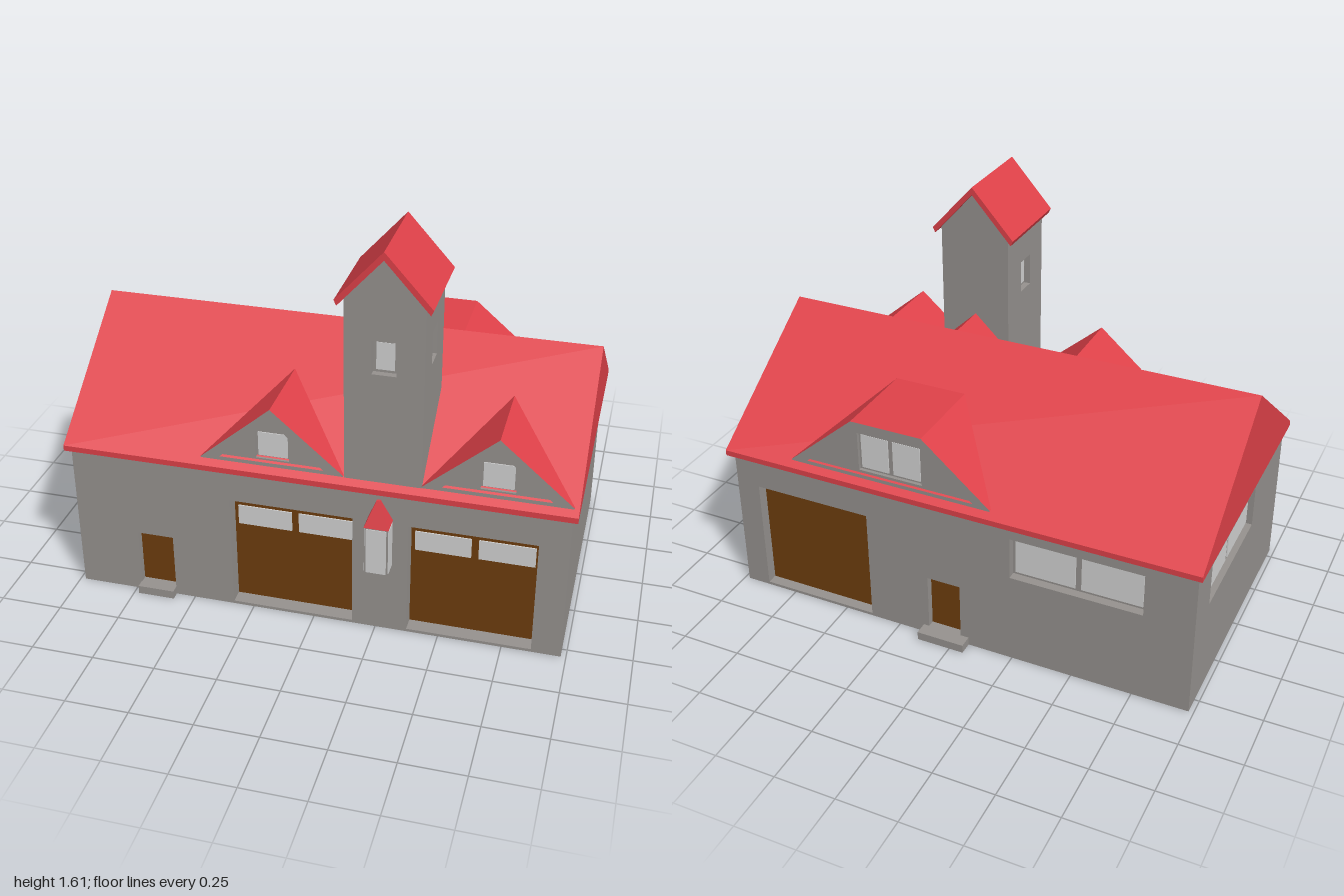
import * as THREE from 'three';

const mat = (name, color) => new THREE.MeshStandardMaterial({ name, color });

export function createModel() {
  const grey = mat('wall grey', 0x96928f);
  const red = mat('roof red', 0xdf4149);
  const brown = mat('door brown', 0x6d3d0e);
  const glass = mat('window glass', 0xd2d2d2);
  const model = new THREE.Group();
  model.name = 'fireStation';

  const group = (name, parent = model) => {
    const g = new THREE.Group();
    g.name = name;
    parent.add(g);
    return g;
  };
  const add = (parent, name, geometry, material) => {
    const m = new THREE.Mesh(geometry, material);
    m.name = name;
    parent.add(m);
    return m;
  };
  // Box given by its limits on each axis
  const box = (parent, name, x0, x1, y0, y1, z0, z1, material) => {
    const m = add(parent, name, new THREE.BoxGeometry(x1 - x0, y1 - y0, z1 - z0), material);
    m.position.set((x0 + x1) / 2, (y0 + y1) / 2, (z0 + z1) / 2);
    return m;
  };
  const rect = (x0, x1, y0, y1) => [[x0, y0], [x1, y0], [x1, y1], [x0, y1]];
  const toPoints = (pts) => pts.map((p) => new THREE.Vector2(p[0], p[1]));
  // Outline with holes, extruded from z0 to z1
  const extrude = (pts, holes, z0, z1) => {
    const shape = new THREE.Shape(toPoints(pts));
    holes.forEach((h) => shape.holes.push(new THREE.Path(toPoints(h))));
    return new THREE.ExtrudeGeometry(shape, { depth: z1 - z0, bevelEnabled: false }).translate(0, 0, z0);
  };

  // Wall panel with its outer face at local z = 0 and recessed, filled openings
  const wall = (parent, name, outline, thick, openings) => {
    const g = group(name, parent);
    add(g, name + 'Panel', extrude(outline, openings.map((o) => rect(...o.area)), -thick, 0), grey);
    openings.forEach((o) => {
      const [x0, x1, y0, y1] = o.area;
      box(g, o.name, x0, x1, y0, y1, -thick - 0.005, -o.depth, o.material);
      o.panes.forEach((p) => box(g, 'pane', ...p, -o.depth - 0.002, -o.depth + 0.005, glass));
    });
    return g;
  };
  // Framed window with n panes side by side
  const windowOpening = (x0, x1, y0, y1, n, depth, border = 0.012) => {
    const w = (x1 - x0) / n;
    const panes = [];
    for (let i = 0; i < n; i++) {
      panes.push([x0 + i * w + border, x0 + (i + 1) * w - border, y0 + border, y1 - border]);
    }
    return { name: 'windowFrame', area: [x0, x1, y0, y1], depth, material: grey, panes };
  };
  const door = (name, x0, x1, y0, y1, depth, panes = []) =>
    ({ name, area: [x0, x1, y0, y1], depth, material: brown, panes });
  const garage = (x0) => door('garageDoor', x0, x0 + 0.49, 0.012, 0.495, 0.06, [
    [x0 + 0.015, x0 + 0.233, 0.355, 0.44],
    [x0 + 0.261, x0 + 0.478, 0.355, 0.44],
  ]);

  // Main building: solid core plus panels with openings
  const W = 0.98, H = 0.632, F = 0.545, B = -0.57;
  box(model, 'buildingCore', -W + 0.03, W, 0, H, B + 0.05, F - 0.07, grey);
  wall(model, 'frontWall', rect(-W, W, 0, H), 0.07, [
    door('frontDoor', -0.727, -0.58, 0.035, 0.275, 0.03), garage(-0.333), garage(0.375),
  ]).position.z = F;
  const back = wall(model, 'backWall', rect(-W, W, 0, H), 0.05, [
    door('backGarageDoor', -0.88, -0.38, 0.012, 0.495, 0.045),
    door('backDoor', -0.116, 0.025, 0.035, 0.275, 0.03),
    windowOpening(0.24, 0.78, 0.39, 0.57, 2, 0.035),
  ]);
  back.position.z = B;
  back.rotation.y = Math.PI;
  const side = wall(model, 'sideWall', rect(B + 0.05, F - 0.07, 0, H), 0.03, [
    windowOpening(-0.405, 0.155, 0.39, 0.57, 2, 0.027),
  ]);
  side.position.x = -W;
  side.rotation.y = -Math.PI / 2;

  // Door steps
  box(model, 'frontStep', -0.73, -0.58, 0, 0.035, F - 0.01, 0.58, grey);
  box(model, 'backStep', -0.06, 0.14, 0, 0.035, -0.625, B + 0.01, grey);

  // Main roof: solid gable, profile drawn in (-z, y)
  const roof = add(model, 'mainRoof', extrude(
    [[-0.57, 0.632], [0.6, 0.632], [0.6, 0.655], [-0.01, 1.07], [-0.57, 0.655]], [], -1, 1), red);
  roof.rotation.y = Math.PI / 2;

  // Dormers: recessed gable face under a thin red skin
  const dormer = (name, cx, z, turn, outer, inner, opening) => {
    const g = group(name);
    g.position.set(cx, 0, z);
    g.rotation.y = turn;
    add(g, 'dormerFrame', extrude(outer, [inner], -0.02, 0), grey);
    wall(g, 'dormerFace', outer, 0.02, [opening]).position.z = -0.02;
    add(g, 'dormerBody', extrude(outer, [], -0.36, -0.04), grey);
    const top = outer.slice(1);
    const skin = [outer[0], ...top, ...top.map(([x, y]) => [x * 1.006, y + 0.004]).reverse(),
      [outer[0][0] * 1.006, outer[0][1] + 0.004]];
    // The skin follows the outline from one eave over the top to the other
    add(g, 'dormerRoof', extrude(skin, [], -0.45, 0), [grey, red]);
  };
  [-0.16, 0.7].forEach((x) => dormer('frontDormer', x, F, 0,
    [[-0.28, 0.675], [0, 0.918], [0.28, 0.675]],
    [[-0.205, 0.69], [0, 0.873], [0.205, 0.69]],
    windowOpening(-0.066, 0.066, 0.695, 0.812, 1, 0.014, 0.008)));
  dormer('backDormer', 0.27, -0.575, Math.PI,
    [[-0.43, 0.675], [-0.15, 0.918], [0.15, 0.918], [0.43, 0.675]],
    [[-0.36, 0.69], [-0.145, 0.877], [0.145, 0.877], [0.36, 0.69]],
    windowOpening(-0.137, 0.137, 0.697, 0.865, 2, 0.014, 0.01));

  // Tower
  const tower = group('tower');
  tower.position.x = 0.2725;
  const hw = 0.148, z0 = 0.21, eave = 1.418;
  const gable = [[-hw, 0.6], [hw, 0.6], [hw, eave], [0, 1.581], [-hw, eave]];
  const zc = 0.38;
  wall(tower, 'towerFront', gable, 0.03, [windowOpening(-0.046, 0.046, 1.125, 1.258, 1, 0.026)]).position.z = F;
  add(tower, 'towerBack', extrude(gable, [], z0, z0 + 0.03), grey);
  box(tower, 'towerCore', -hw + 0.03, hw - 0.03, 0.6, eave, z0 + 0.03, F - 0.03, grey);
  for (const s of [-1, 1]) {
    const p = wall(tower, 'towerSide', rect(z0 + 0.03 - zc, F - 0.03 - zc, 0.6, eave), 0.03,
      [windowOpening(-0.046, 0.046, 1.125, 1.258, 1, 0.026)]);
    p.position.set(s * hw, 0, zc - (s > 0 ? 0.005 : 0));
    p.rotation.y = s * Math.PI / 2;
  }
  add(tower, 'towerRoof', extrude([[-0.178, 1.413], [-0.168, 1.392], [0, 1.58], [0.168, 1.392],
    [0.178, 1.413], [0, 1.612]], [], 0.19, 0.57), red);
  // Small ridge that joins the tower to the main roof
  add(tower, 'saddleRoof', extrude([[-hw, 0.91], [hw, 0.91], [0, 1.052]], [], 0.012, z0 + 0.005), red);

  // Wall lantern with glazed sides and pyramid cap
  const lantern = group('lantern');
  box(lantern, 'lanternBody', 0.222, 0.312, 0.305, 0.515, F - 0.005, 0.617, grey);
  box(lantern, 'lanternGlass', 0.228, 0.306, 0.312, 0.508, 0.615, 0.62, glass);
  box(lantern, 'lanternGlass', 0.219, 0.223, 0.312, 0.508, 0.552, 0.611, glass);
  box(lantern, 'lanternGlass', 0.311, 0.315, 0.312, 0.508, 0.552, 0.611, glass);
  const cap = add(lantern, 'lanternRoof',
    new THREE.CylinderGeometry(0.1, Math.SQRT1_2, 1, 4, 1).rotateY(Math.PI / 4).toNonIndexed(), red);
  cap.geometry.computeVertexNormals();
  cap.scale.set(0.096, 0.106, 0.077);
  cap.position.set(0.267, 0.567, 0.583);

  return model;
}
